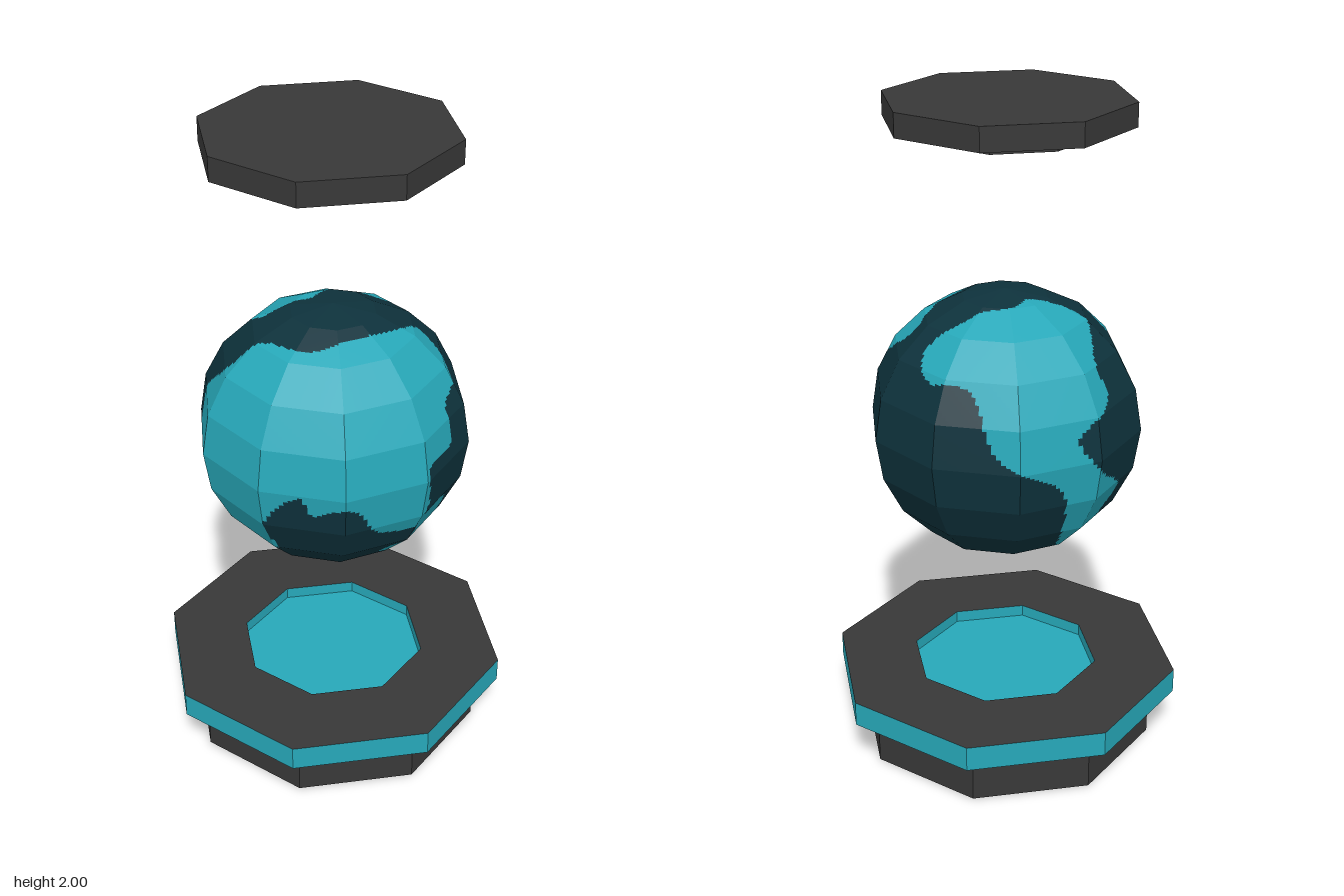
import * as THREE from 'three';

const mat = (name, color) => Object.assign(
  new THREE.MeshStandardMaterial({ color, flatShading: true }), { name });

// Smooth closed coastline through a few [longitude, latitude] points; longitude 0 faces +z, 90 faces +x
const coast = (points) => new THREE.CatmullRomCurve3(
  points.map(([x, y]) => new THREE.Vector3(x, y, 0)), true, 'centripetal').getPoints(points.length * 5);

const oval = (x, y, rx, ry) =>
  new THREE.EllipseCurve(x, y, rx, ry, 0, Math.PI * 2).getPoints(16);

// Large eastern landmass with its southern peninsulas
const EAST = coast([[-77, 22], [-61, 38], [-50, 56], [-8, 61], [31, 67], [85, 62], [111, 49],
  [92, 30], [77, 24], [76, 8], [56, 5], [59, -14], [55, -25], [35, -24], [20, -5], [4, -10],
  [-1, -1], [-18, -18], [-17, -37], [-29, -47], [-52, -51], [-69, -41], [-66, -14], [-79, -6]]);

// Western landmass, north and south
const WEST = coast([[150, 34], [138, 46], [161, 68], [200, 73], [247, 77], [274, 59], [247, 38],
  [247, 24], [225, 11], [237, -7], [259, -24], [248, -40], [238, -62], [224, -40], [217, -11],
  [189, 6], [175, 33]]);

// Southern island continent
const SOUTH = coast([[56, -23], [75, -20], [85, -36], [68, -51], [45, -50], [57, -33]]);

const LAND = [EAST, WEST, SOUTH, oval(103, -56, 2.5, 2)];
const PATCH = [oval(129, -69, 9, 11)];

const inside = (outlines, x, y) => outlines.some((p) => {
  let hit = false;
  for (let i = 0, j = p.length - 1; i < p.length; j = i++) {
    const a = p[i], b = p[j];
    if ((a.y > y) !== (b.y > y) && x < a.x + (b.x - a.x) * (y - a.y) / (b.y - a.y)) hit = !hit;
  }
  return hit;
});

// Ten-sided faceted ball; each flat facet is diced and sorted by region
function globeParts(radius, sides, rows, dice) {
  const parts = { ocean: [], land: [], patch: [] };
  const corner = (s, r) => new THREE.Vector3().setFromSphericalCoords(
    radius, Math.PI * r / rows, Math.PI / 2 + 2 * Math.PI * s / sides);
  for (let s = 0; s < sides; s++) for (let r = 0; r < rows; r++) {
    const a = corner(s, r), b = corner(s + 1, r), c = corner(s, r + 1), d = corner(s + 1, r + 1);
    const at = (u, v) => a.clone().lerp(b, u).lerp(c.clone().lerp(d, u), v);
    for (let i = 0; i < dice; i++) for (let j = 0; j < dice; j++) {
      const m = at((i + 0.5) / dice, (j + 0.5) / dice);
      const lat = THREE.MathUtils.radToDeg(Math.asin(m.y / m.length()));
      let lon = THREE.MathUtils.radToDeg(Math.atan2(m.x, m.z));
      if (lon < -85) lon += 360;
      const key = inside(LAND, lon, lat) ? 'land' : inside(PATCH, lon, lat) ? 'patch' : 'ocean';
      const p = at(i / dice, j / dice), q = at((i + 1) / dice, j / dice);
      const t = at(i / dice, (j + 1) / dice), w = at((i + 1) / dice, (j + 1) / dice);
      if (p.distanceTo(q) > 1e-6) parts[key].push(p, t, q);
      if (t.distanceTo(w) > 1e-6) parts[key].push(q, t, w);
    }
  }
  return parts;
}

// Octagonal plate with an octagonal hole, standing on y = 0
function octagonRing(outer, inner, height) {
  const pts = (r) => Array.from({ length: 8 }, (_, i) =>
    new THREE.Vector2(r * Math.cos(i * Math.PI / 4), r * Math.sin(i * Math.PI / 4)));
  const shape = new THREE.Shape(pts(outer));
  shape.holes.push(new THREE.Path(pts(inner).reverse()));
  return new THREE.ExtrudeGeometry(shape, { depth: height, bevelEnabled: false }).rotateX(-Math.PI / 2);
}

export function createModel() {
  const model = new THREE.Group();
  model.name = 'globeProjector';
  const charcoal = mat('charcoal', 0x383838);
  const teal = mat('teal', 0x27a8b9);
  const deep = mat('deepTeal', 0x0e323c);
  const brown = mat('darkBrown', 0x3a2522);

  const add = (parent, name, geo, material, y) => {
    const mesh = new THREE.Mesh(geo, material);
    mesh.name = name;
    mesh.position.y = y;
    parent.add(mesh);
  };

  // Base with a teal-edged rim and a shallow lit recess
  const base = new THREE.Group();
  base.name = 'base';
  add(base, 'foot', new THREE.CylinderGeometry(0.462, 0.462, 0.157, 8), charcoal, 0.0785);
  add(base, 'rim', octagonRing(0.54, 0.29, 0.078), [charcoal, teal], 0.157);
  add(base, 'recessFloor', new THREE.CircleGeometry(0.29, 8).rotateX(-Math.PI / 2), teal, 0.198);

  // Floating cap, set slightly forward, with a lit emitter below
  const cap = new THREE.Group();
  cap.name = 'cap';
  cap.position.z = 0.045;
  add(cap, 'lid', new THREE.CylinderGeometry(0.365, 0.365, 0.07, 8), charcoal, 1.965);
  add(cap, 'collar', octagonRing(0.243, 0.163, 0.035), charcoal, 1.895);
  add(cap, 'emitter', new THREE.CircleGeometry(0.163, 8).rotateX(Math.PI / 2), teal, 1.928);

  // Hovering globe
  const globe = new THREE.Group();
  globe.name = 'globe';
  const colours = { ocean: deep, land: teal, patch: brown };
  for (const [name, points] of Object.entries(globeParts(0.409, 10, 10, 18))) {
    const geo = new THREE.BufferGeometry().setFromPoints(points);
    geo.computeVertexNormals();
    add(globe, name, geo, colours[name], 1.046);
  }

  model.add(base, cap, globe);
  return model;
}
